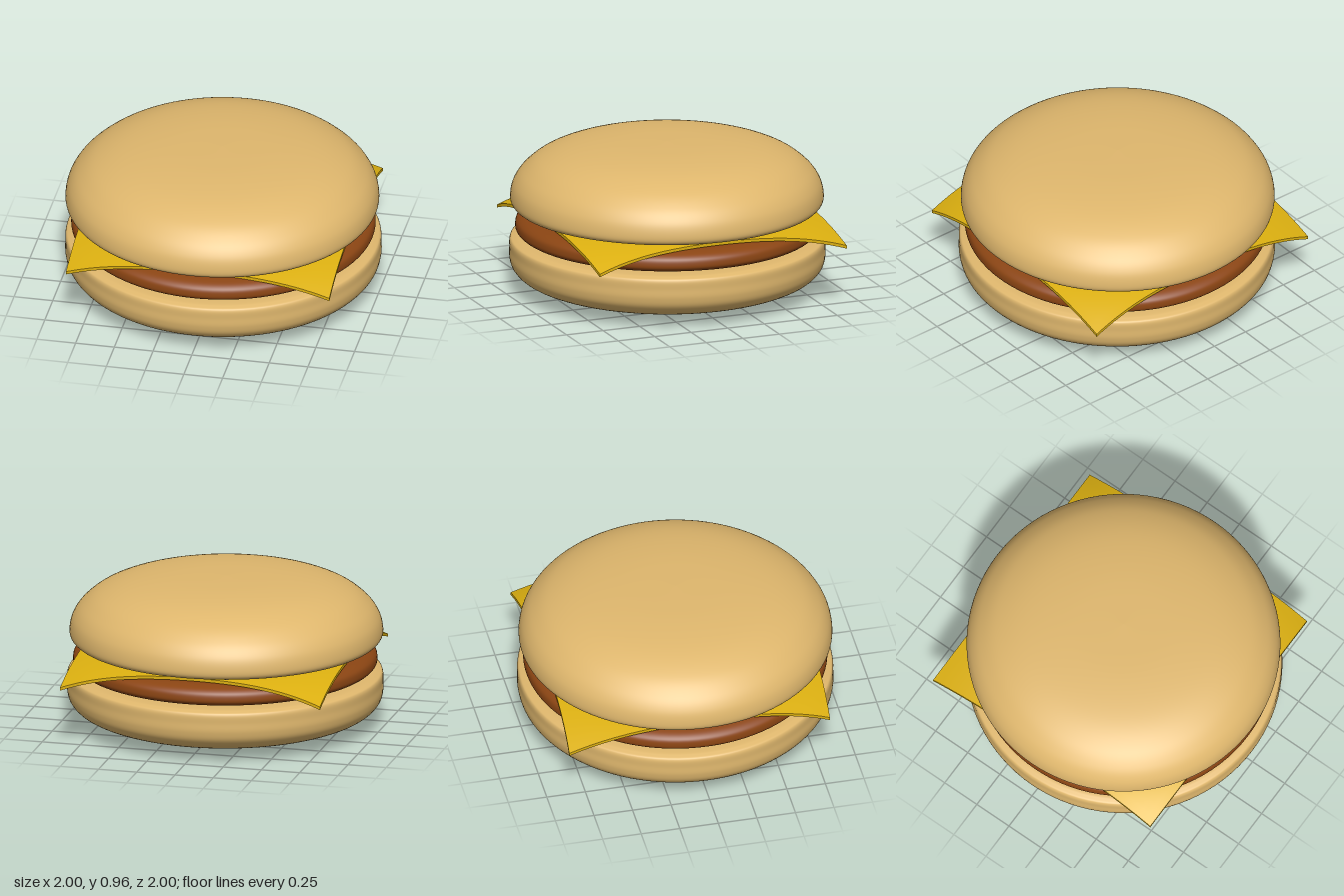
import * as THREE from 'three';

const BUN = 0xdfb76d, PATTY = 0x8b4513, CHEESE = 0xdcb010;

const vec = (p) => new THREE.Vector2(p[0], p[1]);

// Smooth turned solid, profile given as [radius, y] from the bottom axis to the top axis
function turned(name, color, points) {
  const curve = new THREE.SplineCurve(points.map(vec));
  const profile = curve.getPoints(points.length * 6);
  profile.forEach((p) => { p.x = Math.max(p.x, 0); });
  profile[0].x = profile[profile.length - 1].x = 0;
  const mesh = new THREE.Mesh(
    new THREE.LatheGeometry(profile, 96),
    new THREE.MeshStandardMaterial({ color })
  );
  mesh.name = name;
  return mesh;
}

// Square slice whose corners droop with distance from the centre
function cheeseSlice() {
  const geometry = new THREE.BoxGeometry(1.7, 0.02, 1.69, 32, 1, 32);
  const pos = geometry.attributes.position;
  for (let i = 0; i < pos.count; i++) {
    const x = pos.getX(i), z = pos.getZ(i);
    const drop = 0.5 * Math.max(0, Math.hypot(x, z) - 0.68) ** 2;
    pos.setY(i, pos.getY(i) + 0.53 - drop);
    pos.setZ(i, z - 0.005 - 0.2 * drop);
  }
  geometry.computeVertexNormals();
  const mesh = new THREE.Mesh(geometry, new THREE.MeshStandardMaterial({ color: CHEESE }));
  mesh.name = 'cheeseSlice';
  return mesh;
}

export function createModel() {
  const group = new THREE.Group();
  group.name = 'cheeseburger';

  // Lower bun: gently domed underside, straight wall, softened rim
  group.add(turned('bottomBun', BUN, [
    [0, 0], [0.3, 0.006], [0.6, 0.025], [0.8, 0.055], [0.92, 0.097], [0.98, 0.15],
    [1, 0.21], [1, 0.27], [0.998, 0.325], [0.975, 0.345], [0.9, 0.356], [0.6, 0.36], [0, 0.36],
  ]));

  // Patty: disc with a round edge
  group.add(turned('patty', PATTY, [
    [0, 0.355], [0.5, 0.356], [0.8, 0.36], [0.91, 0.37], [0.955, 0.393], [0.963, 0.425],
    [0.95, 0.462], [0.9, 0.488], [0.8, 0.499], [0.5, 0.505], [0, 0.505],
  ]));

  group.add(cheeseSlice());

  // Upper bun: almost flat base and broad dome
  const topBun = turned('topBun', BUN, [
    [0, 0.53], [0.4, 0.533], [0.75, 0.54], [0.93, 0.55], [0.983, 0.57], [0.992, 0.62],
    [0.97, 0.7], [0.91, 0.78], [0.8, 0.858], [0.62, 0.918], [0.35, 0.951], [0, 0.96],
  ]);
  topBun.position.x = -0.007;
  group.add(topBun);

  return group;
}
